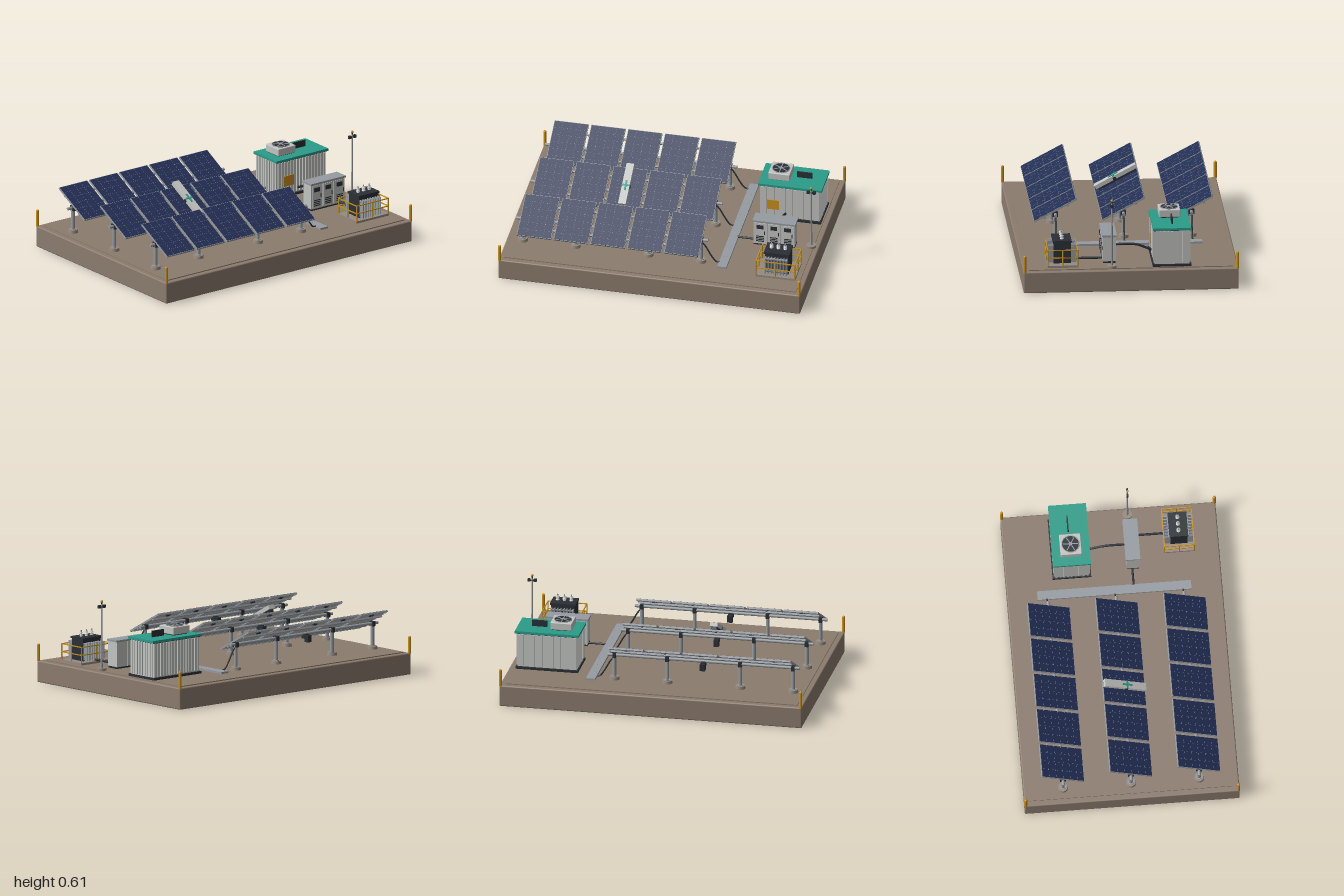
import * as THREE from 'three';
import { RoundedBoxGeometry } from 'three/addons/geometries/RoundedBoxGeometry.js';

const mat = (name, color) => {
  const m = new THREE.MeshStandardMaterial({ color });
  m.name = name;
  return m;
};

export function createModel() {
  const M = {
    earth: mat('earth', 0x8c7c6e), concrete: mat('concrete', 0x978b80),
    navy: mat('solar navy', 0x232e54), metal: mat('galvanised metal', 0x969ca2),
    white: mat('off white', 0xc4c6c3), dark: mat('charcoal', 0x2b3036),
    teal: mat('teal', 0x2a9c88), yellow: mat('safety yellow', 0xc8921e),
  };
  const root = new THREE.Group();
  root.name = 'solarStation';
  const group = (name, x = 0, y = 0, z = 0, parent = root) => {
    const g = new THREE.Group();
    g.name = name;
    g.position.set(x, y, z);
    parent.add(g);
    return g;
  };
  const add = (parent, name, geo, m, x, y, z) => {
    const mesh = new THREE.Mesh(geo, m);
    mesh.name = name;
    mesh.position.set(x, y, z);
    parent.add(mesh);
    return mesh;
  };
  const box = (p, name, m, w, h, d, x, y, z) => add(p, name, new THREE.BoxGeometry(w, h, d), m, x, y, z);
  const cyl = (p, name, m, r, h, x, y, z, r2 = r, n = 16) =>
    add(p, name, new THREE.CylinderGeometry(r2, r, h, n), m, x, y, z);
  const tube = (p, name, m, r, pts) => {
    const curve = new THREE.CatmullRomCurve3(pts.map(a => new THREE.Vector3(...a)));
    return add(p, name, new THREE.TubeGeometry(curve, 20, r, 8), m, 0, 0, 0);
  };

  // Ground slab
  const G = 0.147;
  add(root, 'groundBlock', new RoundedBoxGeometry(1.99, 0.141, 1.39, 2, 0.008), M.earth, 0, 0.0705, 0);
  box(root, 'groundTop', M.earth, 1.92, 0.01, 1.32, 0, G - 0.005, 0);

  // Corner bollards
  for (const x of [-0.988, 0.988]) for (const z of [-0.688, 0.688]) {
    cyl(root, 'bollard', M.yellow, 0.01, 0.105, x, 0.19, z);
    add(root, 'bollardCap', new THREE.SphereGeometry(0.01, 12, 8), M.yellow, x, 0.243, z);
  }

  // Solar rows
  const tilt = THREE.MathUtils.degToRad(28);
  const PW = 0.226, PL = 0.308;
  const buildRow = z => {
    const row = group('solarRow', 0, 0, z);
    for (const x of [-0.888, -0.54, -0.06, 0.288]) {
      cyl(row, 'footing', M.concrete, 0.034, 0.02, x, G + 0.01, 0, 0.031, 12);
      cyl(row, 'basePlate', M.metal, 0.019, 0.005, x, G + 0.022, 0);
      cyl(row, 'post', M.metal, 0.012, 0.15, x, G + 0.09, 0);
      box(row, 'bearing', M.dark, 0.022, 0.032, 0.036, x, 0.312, 0);
    }
    const shaft = cyl(row, 'torqueTube', M.metal, 0.01, 1.265, -0.299, 0.314, 0);
    shaft.rotation.z = Math.PI / 2;
    box(row, 'driveArm', M.dark, 0.03, 0.03, 0.04, -0.3, 0.3, -0.012);
    box(row, 'driveMotor', M.dark, 0.034, 0.045, 0.034, -0.3, 0.288, -0.038);

    const deck = group('panelDeck', -0.3, 0.34, 0, row);
    deck.rotation.x = tilt;
    for (const s of [-0.085, 0.085]) box(deck, 'purlin', M.metal, 1.19, 0.012, 0.012, 0, -0.012, s);
    for (let i = 0; i < 5; i++) {
      const p = group('solarPanel', (i - 2) * 0.243, 0, 0, deck);
      box(p, 'backSheet', M.white, PW - 0.006, 0.006, PL - 0.006, 0, 0, 0);
      for (const s of [-1, 1]) {
        box(p, 'sideFrame', M.metal, 0.004, 0.012, PL, s * (PW / 2 - 0.002), -0.001, 0);
        box(p, 'endFrame', M.metal, PW, 0.012, 0.004, 0, -0.001, s * (PL / 2 - 0.002));
      }
      box(p, 'cells', M.navy, PW - 0.006, 0.004, PL - 0.006, 0, 0.004, 0);
      for (let k = 1; k < 4; k++)
        box(p, 'cellLine', M.metal, 0.0006, 0.0008, PL - 0.006, (k / 4 - 0.5) * PW, 0.0062, 0);
      for (let k = 1; k < 6; k++)
        box(p, 'cellLine', M.metal, PW - 0.006, 0.0008, 0.0006, 0, 0.0062, (k / 6 - 0.5) * PL);
      box(p, 'junctionBox', M.dark, 0.03, 0.008, 0.018, 0, -0.006, -0.115);
    }
    // Cable down to the tray
    tube(row, 'rowCable', M.dark, 0.005,
      [[0.29, 0.3, 0], [0.315, 0.27, 0], [0.355, 0.2, 0], [0.385, 0.162, 0], [0.41, 0.156, 0]]);
    return deck;
  };
  const decks = [-0.44, 0, 0.44].map(buildRow);

  // Cleaning robot on the middle row
  const robot = group('cleaningRobot', 0, 0.032, 0, decks[1]);
  box(robot, 'robotBody', M.white, 0.05, 0.026, 0.3, 0, 0.006, -0.012);
  box(robot, 'robotBrush', M.dark, 0.036, 0.018, 0.27, 0, -0.013, -0.012);
  box(robot, 'robotStripe', M.teal, 0.012, 0.004, 0.07, 0, 0.021, 0);
  box(robot, 'robotBand', M.teal, 0.052, 0.004, 0.012, 0, 0.0205, 0);
  for (const s of [-1, 1]) {
    const w = cyl(robot, 'robotWheel', M.dark, 0.012, 0.004, s * 0.026, 0.0, 0);
    w.rotation.z = Math.PI / 2;
  }

  // Cable tray and conduits
  for (let i = 0; i < 8; i++)
    box(root, 'trayCover', M.metal, 0.06, 0.013, 0.1235, 0.435, G + 0.0065, -0.438 + i * 0.1245);
  box(root, 'trayBase', M.metal, 0.054, 0.01, 0.99, 0.435, G + 0.005, 0);
  tube(root, 'trayConduit', M.dark, 0.007, [[0.46, 0.158, 0.125], [0.52, 0.158, 0.125], [0.58, 0.158, 0.125]]);
  tube(root, 'shelterConduit', M.dark, 0.008,
    [[0.715, 0.233, 0.09], [0.715, 0.235, 0.0], [0.715, 0.228, -0.06], [0.715, 0.205, -0.12], [0.715, 0.19, -0.16]]);
  tube(root, 'transformerConduit', M.dark, 0.008, [[0.795, 0.17, 0.17], [0.795, 0.17, 0.27], [0.795, 0.17, 0.39]]);

  // Equipment shelter
  const sh = group('shelter', 0.745, 0, -0.2675);
  box(sh, 'plinth', M.dark, 0.41, 0.016, 0.25, 0, G + 0.007, 0);
  box(sh, 'walls', M.white, 0.39, 0.232, 0.224, 0, 0.276, 0);
  box(sh, 'roof', M.teal, 0.42, 0.016, 0.246, 0, 0.398, 0);
  box(sh, 'roofTrim', M.dark, 0.405, 0.005, 0.235, 0, 0.389, 0);
  for (const s of [-1, 1]) {
    for (let i = 0; i < 16; i++)
      box(sh, 'wallRib', M.white, 0.012, 0.215, 0.008, -0.183 + i * 0.0244, 0.276, s * 0.114);
    for (let i = 0; i < 9; i++)
      box(sh, 'wallRib', M.white, 0.008, 0.215, 0.012, s * 0.197, 0.276, -0.1 + i * 0.025);
  }
  box(sh, 'warningPlate', M.yellow, 0.08, 0.07, 0.005, -0.11, 0.255, 0.121);
  // Rooftop fan unit and fin
  box(sh, 'fanFeet', M.dark, 0.12, 0.01, 0.11, -0.083, 0.409, 0);
  add(sh, 'fanUnit', new RoundedBoxGeometry(0.142, 0.05, 0.138, 2, 0.005), M.white, -0.083, 0.437, 0);
  cyl(sh, 'fanWell', M.dark, 0.056, 0.004, -0.083, 0.463, 0, 0.056, 28);
  const ring = add(sh, 'fanRing', new THREE.TorusGeometry(0.056, 0.003, 8, 28), M.metal, -0.083, 0.464, 0);
  ring.rotation.x = Math.PI / 2;
  for (let i = 0; i < 3; i++)
    box(sh, 'fanBlade', M.metal, 0.1, 0.003, 0.006, -0.083, 0.466, 0).rotation.y = 0.5 + i * Math.PI / 3;
  cyl(sh, 'fanHub', M.metal, 0.012, 0.004, -0.083, 0.467, 0);
  box(sh, 'roofFin', M.dark, 0.1, 0.042, 0.008, 0.07, 0.427, -0.007);

  // Inverter cabinets
  const cab = group('inverterCabinets', 0.71, 0, 0.13);
  box(cab, 'cabinetBase', M.dark, 0.27, 0.012, 0.08, 0, G + 0.006, 0);
  for (let i = -1; i <= 1; i++) {
    const c = group('cabinet', i * 0.091, 0, 0, cab);
    box(c, 'cabinetBody', M.white, 0.087, 0.165, 0.084, 0, 0.24, 0);
    box(c, 'cabinetDoor', M.white, 0.076, 0.15, 0.004, 0, 0.24, 0.0435);
    box(c, 'cabinetScreen', M.dark, 0.044, 0.028, 0.003, 0, 0.287, 0.0465);
    for (let k = 0; k < 4; k++) box(c, 'cabinetVent', M.dark, 0.05, 0.006, 0.003, 0, 0.18 + k * 0.012, 0.0465);
    box(c, 'cabinetHandle', M.dark, 0.005, 0.026, 0.006, 0.03, 0.245, 0.047);
  }
  box(cab, 'cabinetTop', M.metal, 0.282, 0.012, 0.096, 0, 0.328, 0);

  // Transformer with radiators and bushings
  const tr = group('transformer', 0.797, 0, 0.4375);
  box(tr, 'transformerPad', M.concrete, 0.262, 0.015, 0.2, 0, G + 0.0065, 0);
  box(tr, 'tank', M.dark, 0.155, 0.14, 0.11, 0, 0.232, 0);
  box(tr, 'tankLid', M.dark, 0.168, 0.012, 0.122, 0, 0.307, 0);
  for (const s of [-1, 1]) {
    for (let i = 0; i < 8; i++)
      box(tr, 'radiatorFin', M.metal, 0.006, 0.115, 0.036, -0.07 + i * 0.02, 0.225, s * 0.073);
    for (const y of [0.18, 0.27]) box(tr, 'radiatorHeader', M.metal, 0.15, 0.008, 0.012, 0, y, s * 0.062);
  }
  for (const x of [-0.045, 0, 0.045]) {
    cyl(tr, 'bushing', M.white, 0.008, 0.036, x, 0.33, 0, 0.006);
    for (const y of [0.32, 0.33, 0.34]) cyl(tr, 'bushingSkirt', M.white, 0.013, 0.004, x, y, 0, 0.009);
    cyl(tr, 'terminal', M.metal, 0.004, 0.012, x, 0.35, 0);
  }
  // Safety railing
  const rail = group('safetyRailing', 0.797, 0, 0.4375);
  for (const x of [-0.128, 0, 0.128]) for (const z of [-0.096, 0, 0.096])
    if (x || z) cyl(rail, 'railPost', M.yellow, 0.004, 0.115, x, 0.208, z, 0.004, 8);
  for (const y of [0.212, 0.264]) for (const s of [-1, 1]) {
    box(rail, 'railBar', M.yellow, 0.262, 0.006, 0.006, 0, y, s * 0.096);
    box(rail, 'railBar', M.yellow, 0.006, 0.006, 0.192, s * 0.128, y, 0);
  }

  // Weather mast
  const mast = group('weatherMast', 0.945, 0, 0.122);
  cyl(mast, 'mastFooting', M.concrete, 0.031, 0.016, 0, G + 0.008, 0);
  cyl(mast, 'mastPole', M.metal, 0.007, 0.42, 0, 0.37, 0, 0.005);
  box(mast, 'sensorArm', M.dark, 0.06, 0.008, 0.008, 0, 0.562, 0);
  for (const s of [-1, 1]) box(mast, 'sensor', M.dark, 0.018, 0.02, 0.014, s * 0.02, 0.564, 0);
  cyl(mast, 'mastTip', M.dark, 0.004, 0.02, 0, 0.585, 0);
  add(mast, 'beacon', new THREE.SphereGeometry(0.009, 14, 10), M.yellow, 0, 0.597, 0);

  return root;
}
